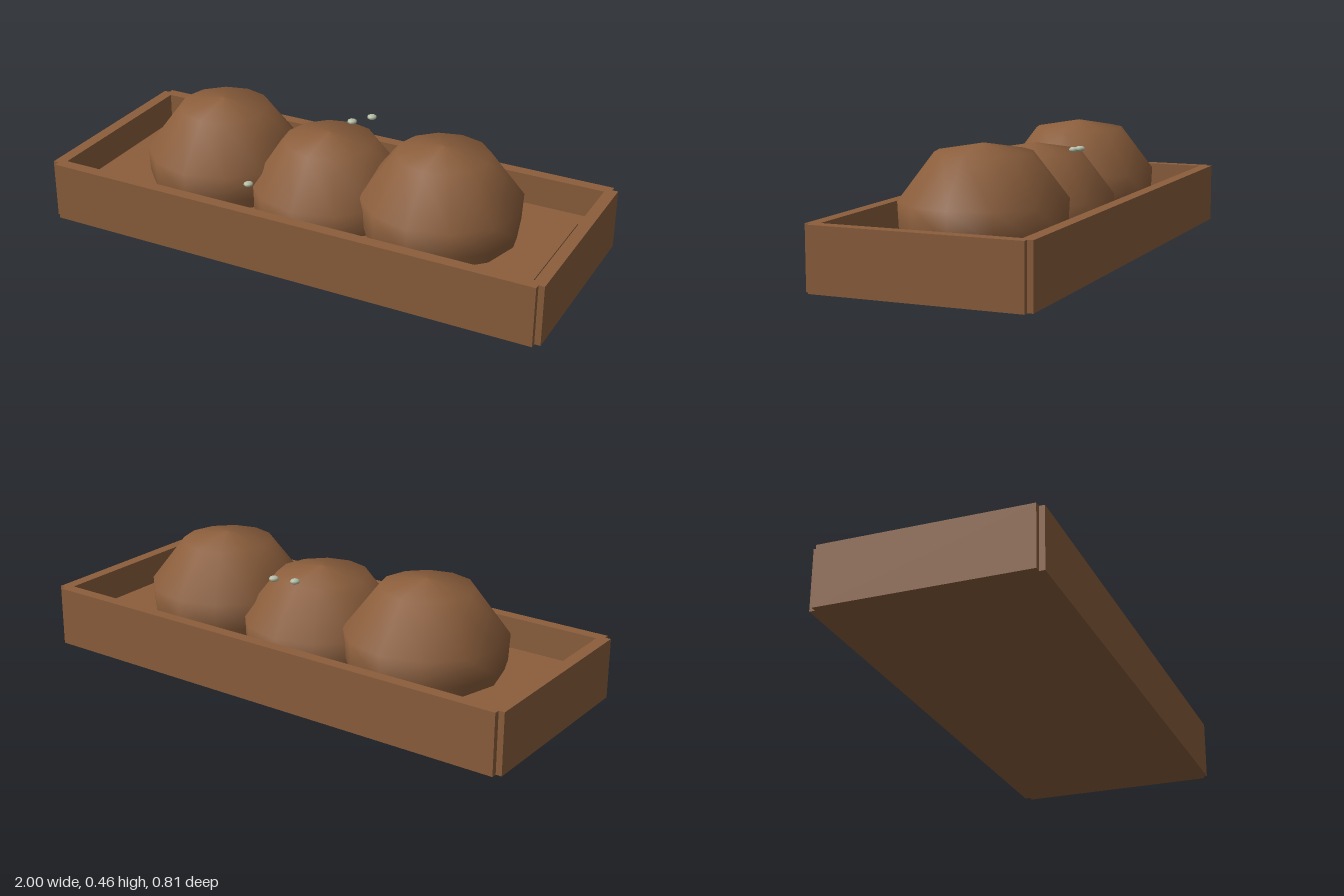
import * as THREE from 'three';

export function createModel() {
  const group = new THREE.Group();
  group.name = 'planter';
  const brown = new THREE.MeshStandardMaterial({ color: 0x8b5e3c });
  brown.name = 'earth brown';
  const grey = new THREE.MeshStandardMaterial({ color: 0xb5bda5 });
  grey.name = 'pebble grey';

  const add = (name, geometry, material, x, y, z) => {
    const mesh = new THREE.Mesh(geometry, material);
    mesh.name = name;
    mesh.position.set(x, y, z);
    group.add(mesh);
    return mesh;
  };
  const box = (name, w, h, d, x, y, z) =>
    add(name, new THREE.BoxGeometry(w, h, d), brown, x, y, z);

  // Tray: base, raised soil bed and four boards stepped at the corners
  box('base', 1.93, 0.11, 0.74, 0, 0.055, 0);
  box('soilBed', 1.78, 0.03, 0.56, 0, 0.103, 0);
  for (const side of [-1, 1]) {
    box(side > 0 ? 'frontBoard' : 'backBoard', 1.955, 0.23, 0.046, 0, 0.115, side * 0.383);
    box(side > 0 ? 'leftBoard' : 'rightBoard', 0.046, 0.23, 0.77, side * 0.977, 0.115, 0);
  }

  // Three rounded mounds, the middle one sunk a little
  const profile = [[0.27, 0.06], [0.297, 0.16], [0.302, 0.26], [0.173, 0.43], [0, 0.46]]
    .map(([r, y]) => new THREE.Vector2(r, y));
  const mound = new THREE.LatheGeometry(profile, 12);
  for (const [name, x, y] of [['rightMound', -0.458, 0], ['middleMound', 0, -0.046], ['leftMound', 0.458, 0]]) {
    add(name, mound, brown, x, y, 0);
  }

  // Small flat pebbles
  const pebble = new THREE.SphereGeometry(0.019, 8, 6);
  for (const [x, y, z] of [[0.01, 0.394, -0.16], [0.07, 0.406, -0.208], [-0.24, 0.23, 0.2]]) {
    add('pebble', pebble, grey, x, y, z).scale.y = 0.55;
  }
  return group;
}
